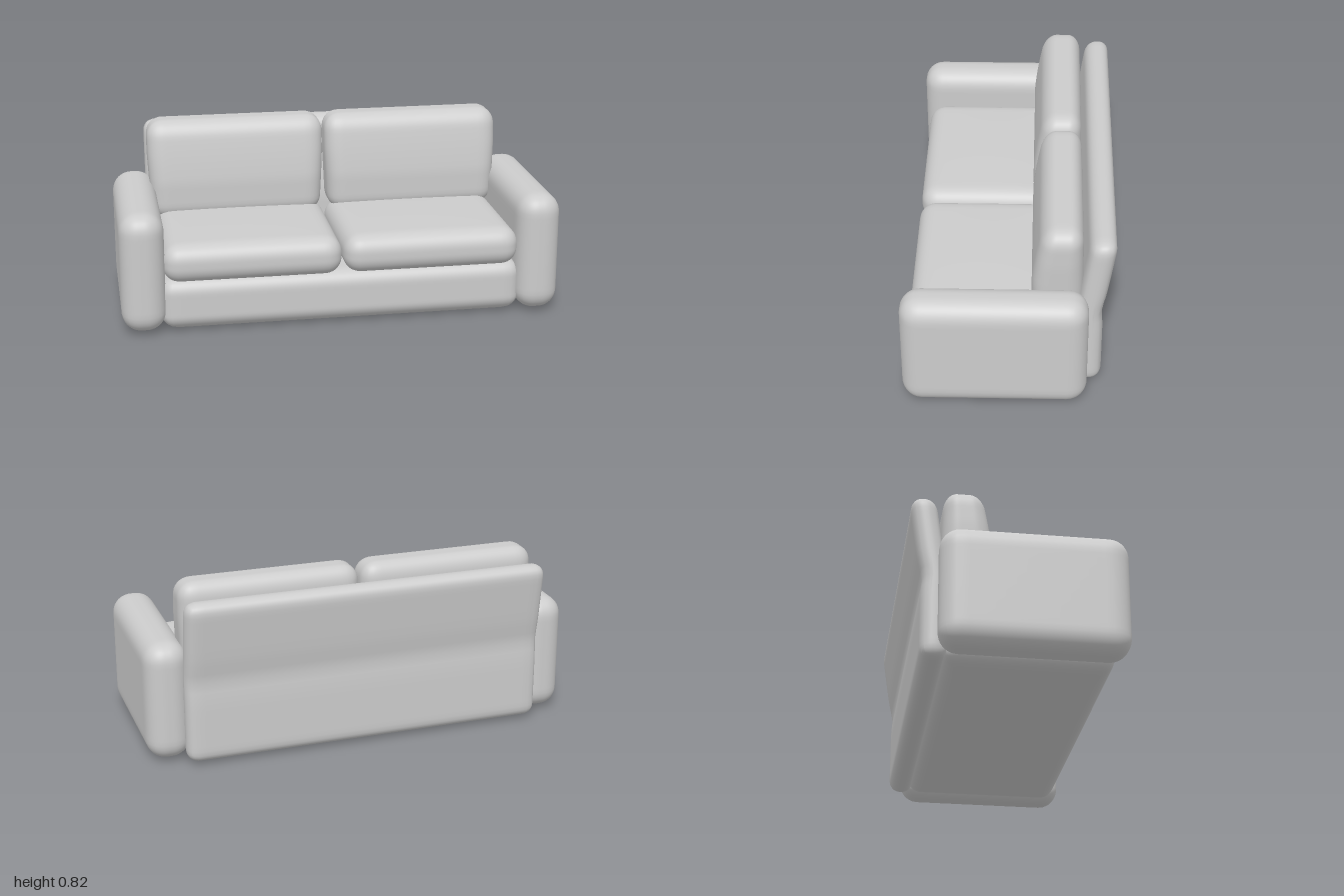
import * as THREE from 'three';
import { mergeVertices } from 'three/addons/utils/BufferGeometryUtils.js';

const material = new THREE.MeshStandardMaterial({ color: 0xcccccc });

// Soft upholstered block between two corners; radius rounds it, bend(p) reshapes it
function pillow(name, min, max, radius, bend) {
  const half = max.map((v, i) => (v - min[i]) / 2);
  const mid = max.map((v, i) => (v + min[i]) / 2);
  let geo = new THREE.BoxGeometry(2, 2, 2, 28, 28, 28);
  geo.deleteAttribute('normal');
  geo.deleteAttribute('uv');
  geo = mergeVertices(geo);
  const pos = geo.attributes.position;
  const p = new THREE.Vector3(), core = new THREE.Vector3();
  const h = new THREE.Vector3(...half);
  const inner = h.clone().subScalar(radius);
  for (let i = 0; i < pos.count; i++) {
    p.fromBufferAttribute(pos, i);
    // Gather the grid near the edges, where the curvature is
    p.set(...p.toArray().map((v) => Math.sin((v * Math.PI) / 2))).multiply(h);
    core.copy(p).clamp(inner.clone().negate(), inner);
    p.sub(core).setLength(radius).add(core);
    p.add(new THREE.Vector3(...mid));
    if (bend) bend(p);
    pos.setXYZ(i, p.x, p.y, p.z);
  }
  geo.computeVertexNormals();
  const mesh = new THREE.Mesh(geo, material);
  mesh.name = name;
  return mesh;
}

export function createModel() {
  const sofa = new THREE.Group();
  sofa.name = 'sofa';

  // Base with a gently crowned underside
  sofa.add(pillow('base', [-0.825, 0.004, -0.32], [0.825, 0.25, 0.42], 0.07, (p) => {
    if (p.y < 0.12) {
      const edge = Math.max(Math.abs(p.x / 0.825) ** 8, Math.abs((p.z - 0.05) / 0.37) ** 6);
      p.y += 0.015 * edge * (0.12 - p.y) / 0.116;
    }
  }));

  // Back panel, leaning backwards above the seat
  sofa.add(pillow('backPanel', [-0.84, 0.018, -0.41], [0.84, 0.78, -0.295], 0.054, (p) => {
    const lean = Math.max(0, p.y - 0.4);
    p.z -= 0.145 * lean;
    // Slight hollow along the fold, puffed halves around it
    const back = p.z < -0.37 ? 1 : 0;
    p.z += back * 0.006 * Math.exp(-(((p.y - 0.41) / 0.06) ** 2));
  }));

  for (const [side, s] of [['left', 1], ['right', -1]]) {
    const block = (name, x0, x1, y, z, radius, bend) => sofa.add(pillow(
      side + name,
      [Math.min(s * x0, s * x1), y[0], z[0]],
      [Math.max(s * x0, s * x1), y[1], z[1]], radius, bend));

    block('Arm', 0.802, 1, [0.016, 0.565], [-0.345, 0.46], 0.088);

    // Seat cushion with a slightly crowned top
    block('SeatCushion', 0.004, 0.812, [0.23, 0.407], [-0.24, 0.432], 0.078, (p) => {
      const u = (s * p.x - 0.408) / 0.404;
      const w = (p.z - 0.1) / 0.34;
      if (p.y > 0.34) p.y += 0.008 * Math.max(0, 1 - u * u) * Math.max(0, 1 - w * w);
    });

    // Back cushion: upright rear, front face sloping back towards the top
    block('BackCushion', 0.006, 0.835, [0.36, 0.828], [-0.322, -0.1], 0.075, (p) => {
      const t = (p.z + 0.322) / 0.222;
      const rise = Math.max(0, p.y - 0.54);
      p.z -= t * (0.1 * rise + 0.25 * rise * rise) - (1 - t) * 0.02 * rise;
      // Sides narrow a little towards the seat
      p.x = s * (0.42 + (s * p.x - 0.42) * (1 - 0.12 * Math.max(0, 0.66 - p.y)));
    });
  }
  return sofa;
}
